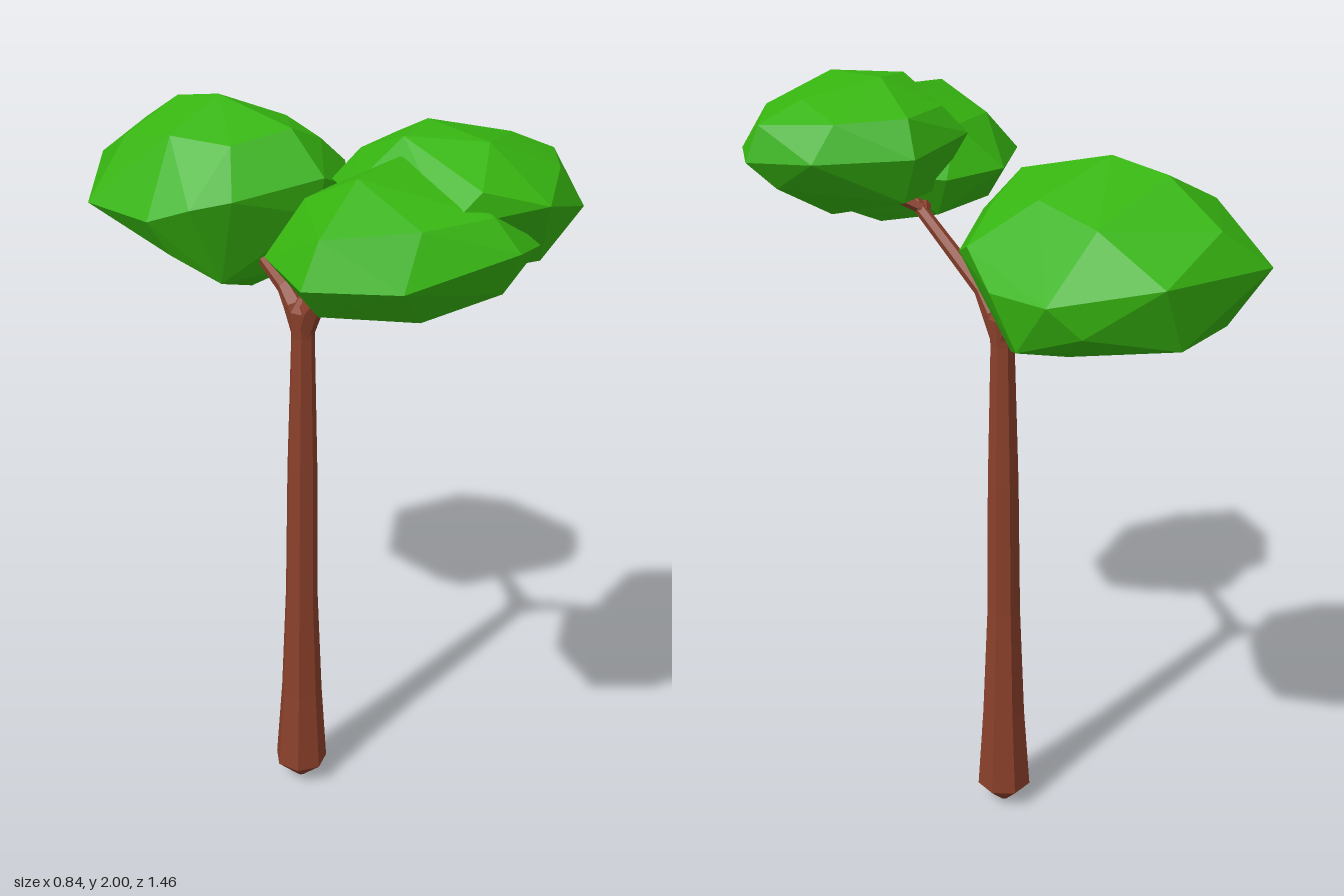
import * as THREE from 'three';
import { ConvexGeometry } from 'three/addons/geometries/ConvexGeometry.js';

const bark = new THREE.MeshStandardMaterial({ color: 0x8a402b, flatShading: true });
const leaf = new THREE.MeshStandardMaterial({ color: 0x36b410, flatShading: true });

// Faceted limb: rings of the given radius around a list of [x, y, z, radius]
function limb(name, stops, sides = 6, turn = 0.25) {
  const centres = stops.map(s => new THREE.Vector3(s[0], s[1], s[2]));
  const pos = [], index = [];
  centres.forEach((c, i) => {
    const t = centres[Math.min(i + 1, centres.length - 1)].clone()
      .sub(centres[Math.max(i - 1, 0)]).normalize();
    const u = new THREE.Vector3(1, 0, 0).addScaledVector(t, -t.x).normalize();
    const v = t.clone().cross(u);
    for (let j = 0; j < sides; j++) {
      const a = turn + (j / sides) * Math.PI * 2;
      const p = c.clone()
        .addScaledVector(u, Math.cos(a) * stops[i][3])
        .addScaledVector(v, Math.sin(a) * stops[i][3]);
      pos.push(p.x, p.y, p.z);
      if (i < centres.length - 1) {
        const k = i * sides + j, n = i * sides + (j + 1) % sides;
        index.push(k, n, k + sides, n, n + sides, k + sides);
      }
    }
  });
  const g = new THREE.BufferGeometry();
  g.setAttribute('position', new THREE.Float32BufferAttribute(pos, 3));
  g.setIndex(index);
  g.computeVertexNormals();
  const mesh = new THREE.Mesh(g, bark);
  mesh.name = name;
  return mesh;
}

// Faceted leaf clump: convex hull of its corner points
function clump(name, points) {
  const mesh = new THREE.Mesh(
    new ConvexGeometry(points.map(p => new THREE.Vector3(...p))), leaf);
  mesh.name = name;
  return mesh;
}

export function createModel() {
  const tree = new THREE.Group();
  tree.name = 'tree';

  // Trunk with a pointed foot, and the forking branches
  tree.add(
    limb('trunk', [
      [0.062, 0, 0, 0.012], [0.062, 0.06, 0, 0.074], [0.062, 0.3, 0, 0.058],
      [0.06, 0.62, 0, 0.045], [0.06, 1.0, 0, 0.041], [0.06, 1.38, 0, 0.031],
      [0.06, 1.45, 0, 0.036], [0.06, 1.485, 0, 0.012], [0.06, 1.486, 0, 0],
    ], 7),
    limb('frontBranch', [
      [0.06, 1.38, 0.0, 0.026], [0.06, 1.46, 0.03, 0.03],
      [0.06, 1.51, 0.07, 0.02], [0.06, 1.69, 0.29, 0.016], [0.06, 1.71, 0.31, 0],
    ]),
    limb('frontTwigLeft', [
      [0.06, 1.68, 0.27, 0.015], [0.16, 1.75, 0.38, 0.013], [0.19, 1.78, 0.42, 0],
    ], 5),
    limb('frontTwigRight', [
      [0.06, 1.67, 0.26, 0.015], [-0.04, 1.72, 0.35, 0.013], [-0.09, 1.75, 0.4, 0],
    ], 5),
    limb('backBranch', [
      [0.06, 1.38, 0.0, 0.026], [0.06, 1.46, -0.03, 0.03],
      [0.065, 1.495, -0.07, 0.023], [0.08, 1.545, -0.17, 0.02], [0.11, 1.62, -0.32, 0],
    ]),
  );

  // Back crown: rim, upper corners, lower corners
  tree.add(clump('backCrown', [
    [0, 1.72, -0.73], [0.28, 1.72, -0.65], [0.42, 1.67, -0.44], [0.42, 1.67, -0.28],
    [0.37, 1.74, -0.17], [0.31, 1.7, -0.09], [0.17, 1.76, -0.04], [-0.05, 1.72, -0.14],
    [-0.13, 1.7, -0.21], [-0.185, 1.66, -0.31], [-0.195, 1.66, -0.54],
    [0.1, 1.925, -0.36], [0.08, 1.9, -0.5], [0.1, 1.81, -0.66], [0.15, 1.87, -0.14],
    [0.28, 1.85, -0.3], [0.3, 1.82, -0.48], [-0.07, 1.85, -0.35], [-0.08, 1.82, -0.52],
    [0, 1.84, -0.2], [0.27, 1.82, -0.16],
    [0.12, 1.43, -0.26], [0.28, 1.48, -0.22], [0.4, 1.54, -0.34], [0.2, 1.56, -0.64],
    [0, 1.56, -0.62], [-0.02, 1.48, -0.22], [-0.12, 1.56, -0.3], [0.17, 1.5, -0.15],
    [0.17, 1.66, -0.06], [0.37, 1.6, -0.5],
  ]));

  // Front crown: two overlapping clumps, the right one lower
  tree.add(clump('frontCrownRight', [
    [-0.42, 1.76, 0.5], [-0.33, 1.76, 0.29], [-0.14, 1.76, 0.17], [0.02, 1.75, 0.22],
    [-0.26, 1.75, 0.64], [0, 1.8, 0.73], [0.1, 1.79, 0.7], [0.15, 1.79, 0.55],
    [0.14, 1.77, 0.34],
    [-0.35, 1.85, 0.48], [-0.2, 1.94, 0.44], [-0.05, 1.955, 0.42], [0.05, 1.91, 0.5],
    [-0.22, 1.87, 0.3], [-0.06, 1.87, 0.26], [-0.18, 1.86, 0.61], [-0.02, 1.87, 0.67],
    [-0.33, 1.67, 0.46], [-0.16, 1.61, 0.42], [0.03, 1.605, 0.45], [0.1, 1.64, 0.5],
    [-0.19, 1.66, 0.27], [0, 1.65, 0.27], [-0.14, 1.64, 0.58], [0.02, 1.69, 0.67],
  ]));
  tree.add(clump('frontCrownLeft', [
    [0.18, 1.84, 0.17], [0.35, 1.83, 0.35], [0.41, 1.82, 0.52], [0.31, 1.82, 0.65],
    [0.1, 1.88, 0.72], [-0.1, 1.85, 0.61], [-0.12, 1.87, 0.33], [-0.05, 1.86, 0.21],
    [0.1, 2.0, 0.36], [-0.02, 1.99, 0.4], [0.08, 1.99, 0.56], [0.27, 1.96, 0.46],
    [0.38, 1.91, 0.5], [0.16, 1.93, 0.21], [0, 1.93, 0.25], [0.29, 1.92, 0.33],
    [0.24, 1.92, 0.63], [-0.03, 1.92, 0.64],
    [0.35, 1.75, 0.48], [0.2, 1.66, 0.45], [0.05, 1.65, 0.43], [0.16, 1.72, 0.23],
    [0.02, 1.72, 0.26], [0.18, 1.72, 0.64], [-0.04, 1.74, 0.57],
  ]));

  return tree;
}
